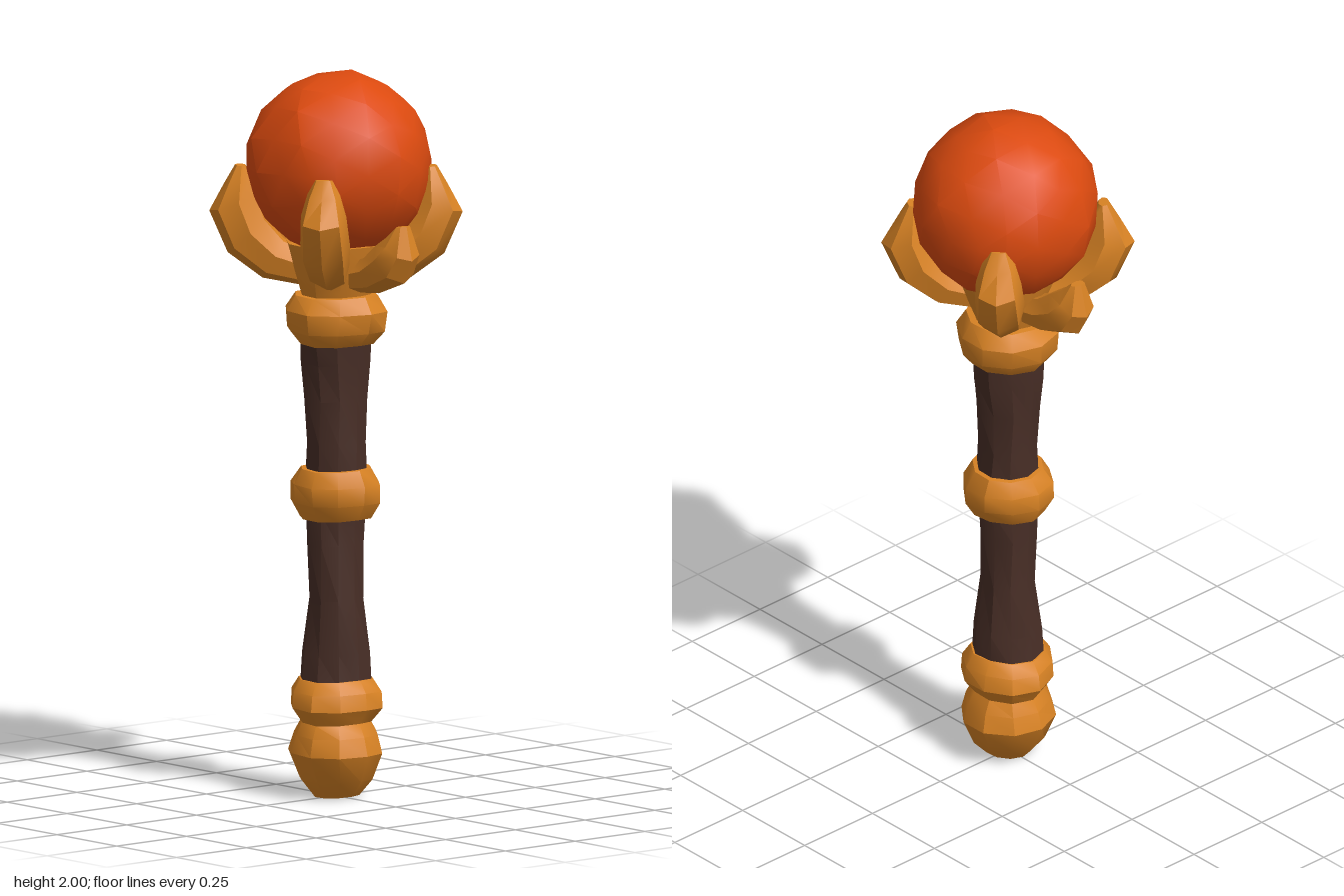
import * as THREE from 'three';
import { toCreasedNormals } from 'three/addons/utils/BufferGeometryUtils.js';

const gold = new THREE.MeshStandardMaterial({ color: 0xd98324 });
gold.name = 'gold';
const darkWood = new THREE.MeshStandardMaterial({ color: 0x482e26 });
darkWood.name = 'dark wood';
const orange = new THREE.MeshStandardMaterial({ color: 0xdc4a0f });
orange.name = 'orange red';

// Hand-carved unevenness that depends on position only, so seams stay closed
function wobble(geo, amount) {
  const p = geo.attributes.position;
  for (let i = 0; i < p.count; i++) {
    const x = p.getX(i), y = p.getY(i), z = p.getZ(i);
    p.setXYZ(i,
      x + amount * Math.sin(y * 17 + z * 23),
      y + amount * 0.6 * Math.sin(x * 27 + z * 19),
      z + amount * Math.sin(x * 21 + y * 14 + 1));
  }
  return geo;
}

function addMesh(group, name, geo, material, crease = 0.6) {
  const mesh = new THREE.Mesh(toCreasedNormals(geo, crease), material);
  mesh.name = name;
  group.add(mesh);
  return mesh;
}

// Turned part from [radius, height] pairs, bottom to top
function turned(group, name, profile, material, sides = 10) {
  const points = profile.map(([r, y]) => new THREE.Vector2(r, y));
  const geo = wobble(new THREE.LatheGeometry(points, sides), 0.004);
  return addMesh(group, name, geo, material);
}

// Claw lofted outwards along +x; each section is [innerR, innerY, outerR, outerY, halfWidth]
function clawGeometry(sections) {
  const sides = 7, pos = [], index = [];
  for (const [ir, iy, or, oy, w] of sections) {
    for (let j = 0; j < sides; j++) {
      const a = (j / sides) * Math.PI * 2;
      const t = 0.5 + 0.5 * Math.cos(a);
      pos.push(ir + (or - ir) * t, iy + (oy - iy) * t, -w * Math.sin(a));
    }
  }
  for (let i = 0; i < sections.length - 1; i++) {
    for (let j = 0; j < sides; j++) {
      const a = i * sides + j, b = i * sides + (j + 1) % sides;
      index.push(a, b, b + sides, a, b + sides, a + sides);
    }
  }
  const top = (sections.length - 1) * sides;
  for (let j = 1; j < sides - 1; j++) {
    index.push(0, j + 1, j, top, top + j, top + j + 1);
  }
  const geo = new THREE.BufferGeometry();
  geo.setAttribute('position', new THREE.Float32BufferAttribute(pos, 3));
  geo.setIndex(index);
  geo.computeVertexNormals();
  return geo;
}

export function createModel() {
  const mace = new THREE.Group();
  mace.name = 'mace';

  // Handle
  turned(mace, 'pommel', [
    [0, 0.002], [0.06, 0.004], [0.1, 0.05], [0.135, 0.125], [0.122, 0.175],
    [0.103, 0.21], [0.13, 0.25], [0.124, 0.295], [0.1, 0.328], [0, 0.33],
  ], gold);
  turned(mace, 'lowerGrip', [[0.097, 0.31], [0.09, 0.4], [0.08, 0.55], [0.077, 0.7], [0.079, 0.79]], darkWood);
  turned(mace, 'middleRing', [
    [0.07, 0.77], [0.095, 0.77], [0.122, 0.815], [0.124, 0.865], [0.1, 0.908], [0.07, 0.91],
  ], gold);
  turned(mace, 'upperGrip', [[0.087, 0.89], [0.085, 0.98], [0.087, 1.1], [0.096, 1.2], [0.1, 1.27]], darkWood);
  turned(mace, 'neckRing', [
    [0.08, 1.25], [0.105, 1.253], [0.136, 1.29], [0.142, 1.345], [0.115, 1.388], [0.08, 1.39],
  ], gold);
  turned(mace, 'orbCup', [[0.09, 1.37], [0.1, 1.4], [0.12, 1.46], [0.14, 1.53], [0, 1.54]], gold);

  // Orb
  const orbGeo = wobble(new THREE.IcosahedronGeometry(0.257, 2), 0.005);
  const orb = addMesh(mace, 'orb', orbGeo, orange, 0.5);
  orb.position.set(0.013, 1.743, -0.002);

  // Four tall claws on the diagonals, two short ones at front and back
  const tall = [
    [0.06, 1.5, 0.09, 1.41, 0.045], [0.14, 1.54, 0.2, 1.43, 0.06],
    [0.19, 1.6, 0.295, 1.5, 0.07], [0.21, 1.66, 0.345, 1.615, 0.064],
    [0.23, 1.71, 0.305, 1.69, 0.046], [0.245, 1.74, 0.275, 1.742, 0.024],
  ];
  const short = [
    [0.06, 1.48, 0.08, 1.4, 0.045], [0.14, 1.51, 0.18, 1.41, 0.052],
    [0.19, 1.55, 0.285, 1.45, 0.062], [0.23, 1.575, 0.318, 1.515, 0.052],
    [0.265, 1.605, 0.295, 1.608, 0.022],
  ];
  const claws = [
    ['frontLeftClaw', tall, -42], ['backLeftClaw', tall, 42],
    ['backRightClaw', tall, 138], ['frontRightClaw', tall, -138],
    ['frontClaw', short, -90], ['backClaw', short, 90],
  ];
  for (const [name, sections, degrees] of claws) {
    const claw = addMesh(mace, name, clawGeometry(sections), gold);
    claw.rotation.y = THREE.MathUtils.degToRad(degrees);
  }

  return mace;
}
